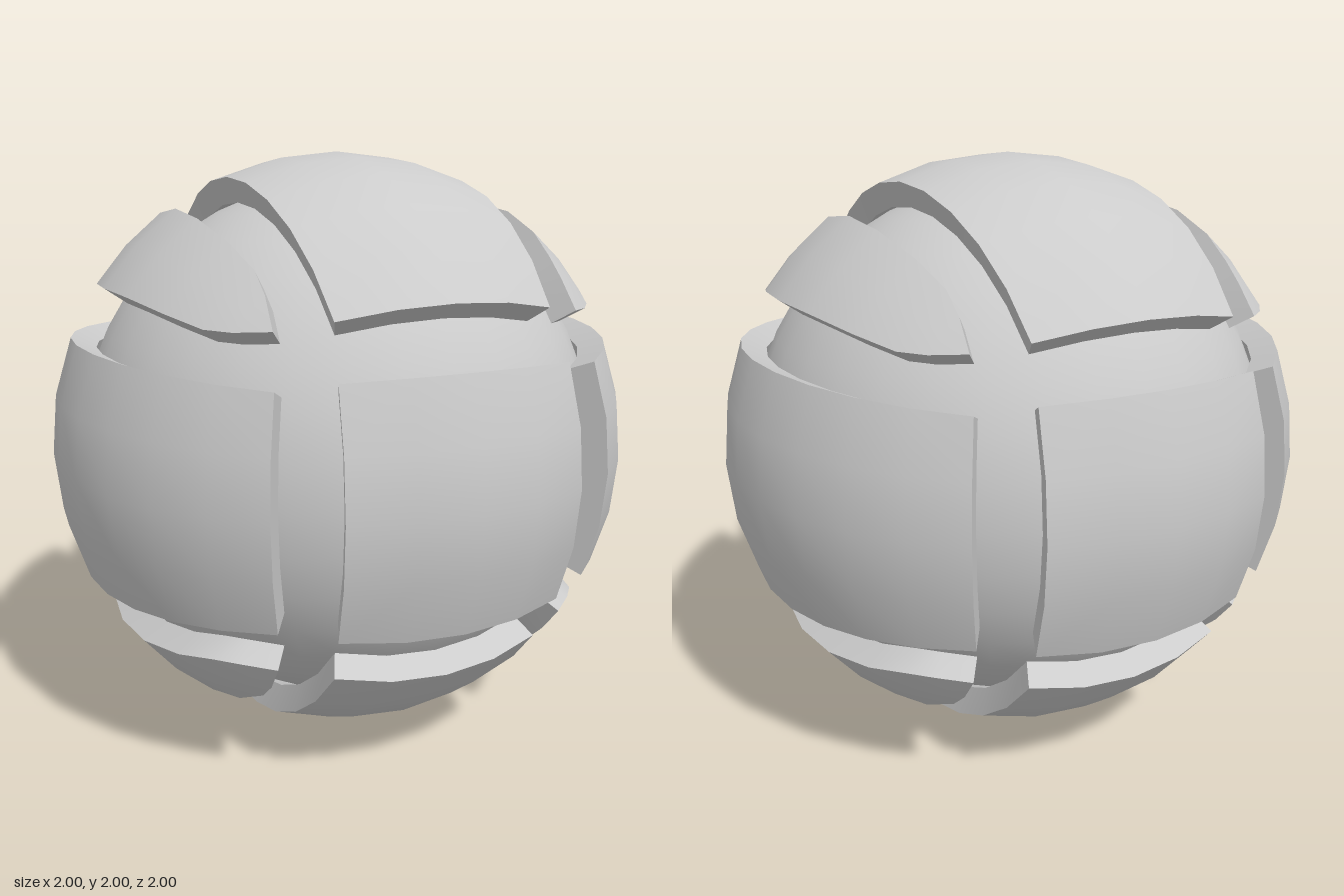
import * as THREE from 'three';
import { toCreasedNormals } from 'three/addons/utils/BufferGeometryUtils.js';

const RAD = Math.PI / 180;
const OUTER = 1, INNER = 0.91, CORE = 0.9;

// Curved slab: dir(u, v) gives a unit direction for u, v in [-1, 1]; walls run radially.
function slab(nu, nv, dir) {
  const pos = [], idx = [], row = nu + 1, layer = row * (nv + 1);
  for (const radius of [OUTER, INNER]) {
    for (let j = 0; j <= nv; j++) {
      for (let i = 0; i <= nu; i++) {
        pos.push(...dir(2 * i / nu - 1, 2 * j / nv - 1).multiplyScalar(radius).toArray());
      }
    }
  }
  const point = (k) => new THREE.Vector3().fromArray(pos, k * 3);
  const tri = (a, b, c) => { // skips triangles collapsed at pointed ends
    const A = point(a), B = point(b), C = point(c);
    if (B.sub(A).cross(C.sub(A)).length() > 1e-8) idx.push(a, b, c);
  };
  const quad = (a, b, c, d) => { tri(a, b, c); tri(a, c, d); };
  for (let j = 0; j < nv; j++) {
    for (let i = 0; i < nu; i++) {
      const a = j * row + i, b = a + 1, c = b + row, d = a + row;
      quad(a, b, c, d);
      quad(a + layer, d + layer, c + layer, b + layer);
    }
  }
  // Rim, counter-clockwise from outside
  const rim = [];
  for (let i = 0; i < nu; i++) rim.push(i);
  for (let j = 0; j < nv; j++) rim.push(j * row + nu);
  for (let i = nu; i > 0; i--) rim.push(nv * row + i);
  for (let j = nv; j > 0; j--) rim.push(j * row);
  rim.forEach((a, k) => {
    const b = rim[(k + 1) % rim.length];
    quad(a + layer, b + layer, b, a);
  });
  const geo = new THREE.BufferGeometry();
  geo.setAttribute('position', new THREE.Float32BufferAttribute(pos, 3));
  geo.setIndex(idx);
  return toCreasedNormals(geo, 30 * RAD);
}

// Long strip over the top, narrowing slightly towards its ends
function stripDir(u, v) {
  const phi = v * 54.7 * RAD;
  const lat = u * Math.asin(0.397 - 0.057 * Math.sin(phi) ** 2);
  return new THREE.Vector3(Math.sin(lat), Math.cos(lat) * Math.cos(phi), -Math.cos(lat) * Math.sin(phi));
}

// Square cap on the front
function capDir(u, v) {
  const x = 0.397 * u * (1 - 0.035 * v * v), y = 0.397 * v * (1 - 0.035 * u * u);
  return new THREE.Vector3(x, y, Math.sqrt(1 - x * x - y * y));
}

// Leaf between two strips: [angle along, half width] in degrees, ending in a point
const LEAF = [[0, 10], [12, 9.6], [24, 8.9], [33, 7.7], [38, 5.1], [43.6, 0]];
function leafDir(u, v) {
  const [along, half] = LEAF[Math.round(Math.abs(v) * 5)];
  const phi = Math.sign(v) * along * RAD, theta = (45 + u * half) * RAD;
  return new THREE.Vector3(Math.cos(theta) * Math.cos(phi), Math.sin(theta) * Math.cos(phi), Math.sin(phi));
}

export function createModel() {
  const model = new THREE.Group();
  model.name = 'panelledBall';
  const material = new THREE.MeshStandardMaterial({ color: 0xcccccc });
  const add = (name, geometry) => {
    const mesh = new THREE.Mesh(geometry, material);
    mesh.name = name;
    mesh.position.y = 1;
    model.add(mesh);
    return mesh;
  };

  // Core
  add('core', new THREE.SphereGeometry(CORE, 32, 20));

  // Four strips and four leaves around the z axis
  const strip = slab(4, 10, stripDir), leaf = slab(2, 10, leafDir);
  const strips = ['topStrip', 'rightStrip', 'bottomStrip', 'leftStrip'];
  const leaves = ['topLeftLeaf', 'topRightLeaf', 'bottomRightLeaf', 'bottomLeftLeaf'];
  for (let k = 0; k < 4; k++) {
    add(strips[k], strip).rotation.z = k * Math.PI / 2;
    add(leaves[k], leaf).rotation.z = k * Math.PI / 2;
  }

  // Front and back caps
  const cap = slab(4, 4, capDir);
  add('frontCap', cap);
  add('backCap', cap).rotation.y = Math.PI;

  return model;
}
